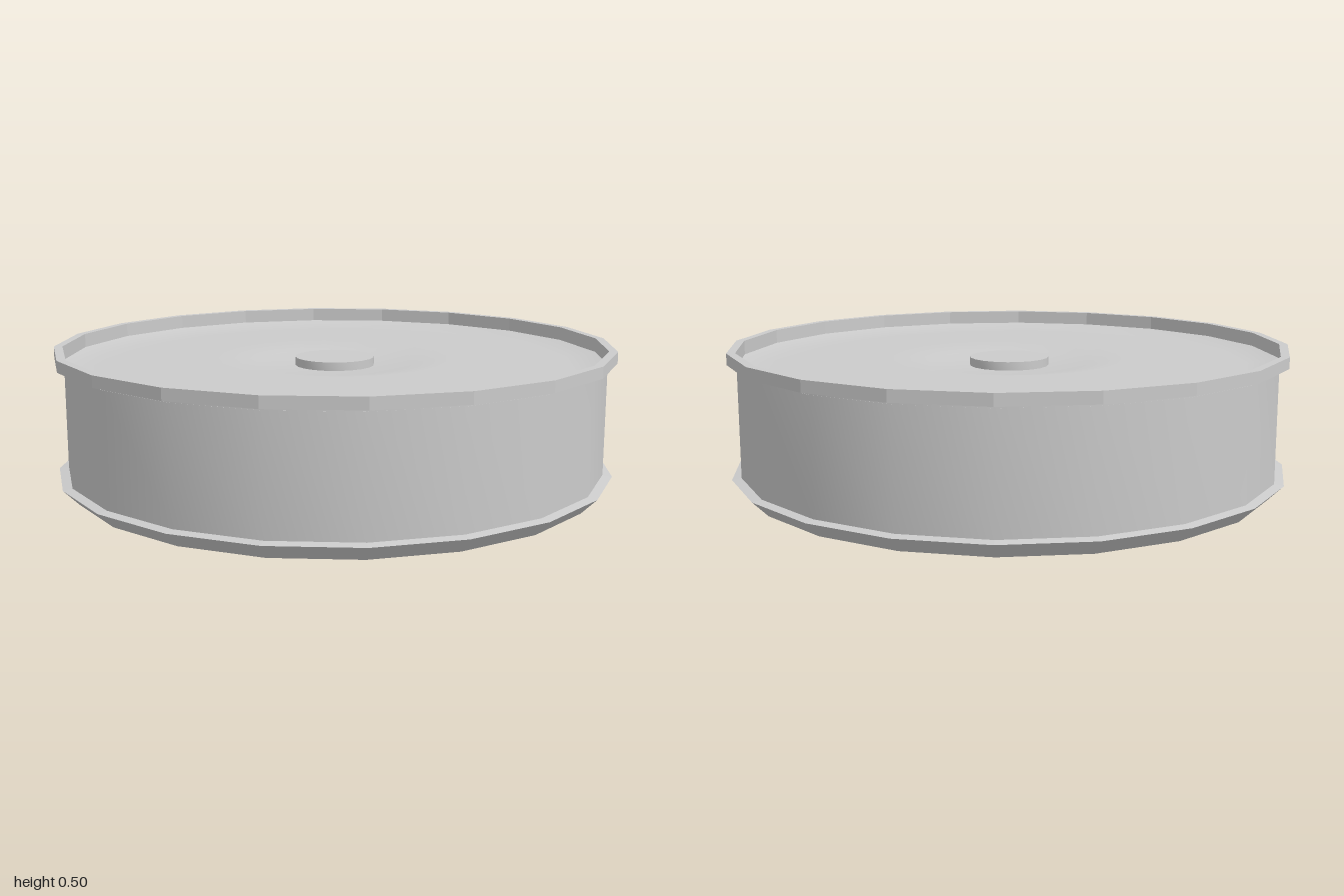
import * as THREE from 'three';
import { toCreasedNormals } from 'three/addons/utils/BufferGeometryUtils.js';

const SIDES = 20;

// Revolves [radius, height] pairs; smooth parts keep edges over 0.4 rad sharp
function lathe(name, profile, smooth) {
  const points = profile.map(([r, y]) => new THREE.Vector2(r, y));
  let geometry = new THREE.LatheGeometry(points, SIDES);
  if (smooth) geometry = toCreasedNormals(geometry, 0.4);
  const material = new THREE.MeshStandardMaterial({ color: 0xcccccc, flatShading: !smooth });
  const mesh = new THREE.Mesh(geometry, material);
  mesh.name = name;
  return mesh;
}

export function createModel() {
  const group = new THREE.Group();
  group.name = 'shallowTin';

  // Flat base with a bevelled edge that steps in to the wall
  group.add(lathe('base', [[0, 0], [0.945, 0], [1, 0.055], [0.967, 0.06]], false));

  // Straight side wall
  group.add(lathe('wall', [[0.967, 0.06], [0.967, 0.46]], true));

  // Raised rim: underside, outer face, narrow top and inner face
  group.add(lathe('rim', [[0.967, 0.46], [1, 0.46], [1, 0.5], [0.97, 0.5], [0.97, 0.45]], false));

  // Recessed lid with shallow concentric ripples around a raised centre disc
  const lid = [[0.97, 0.45]];
  for (let i = 6; i >= 2; i--) lid.push([i * 0.143, i % 2 ? 0.45 : 0.43]);
  lid.push([0.143, 0.42], [0.143, 0.45], [0, 0.45]);
  group.add(lathe('lid', lid, true));

  return group;
}
